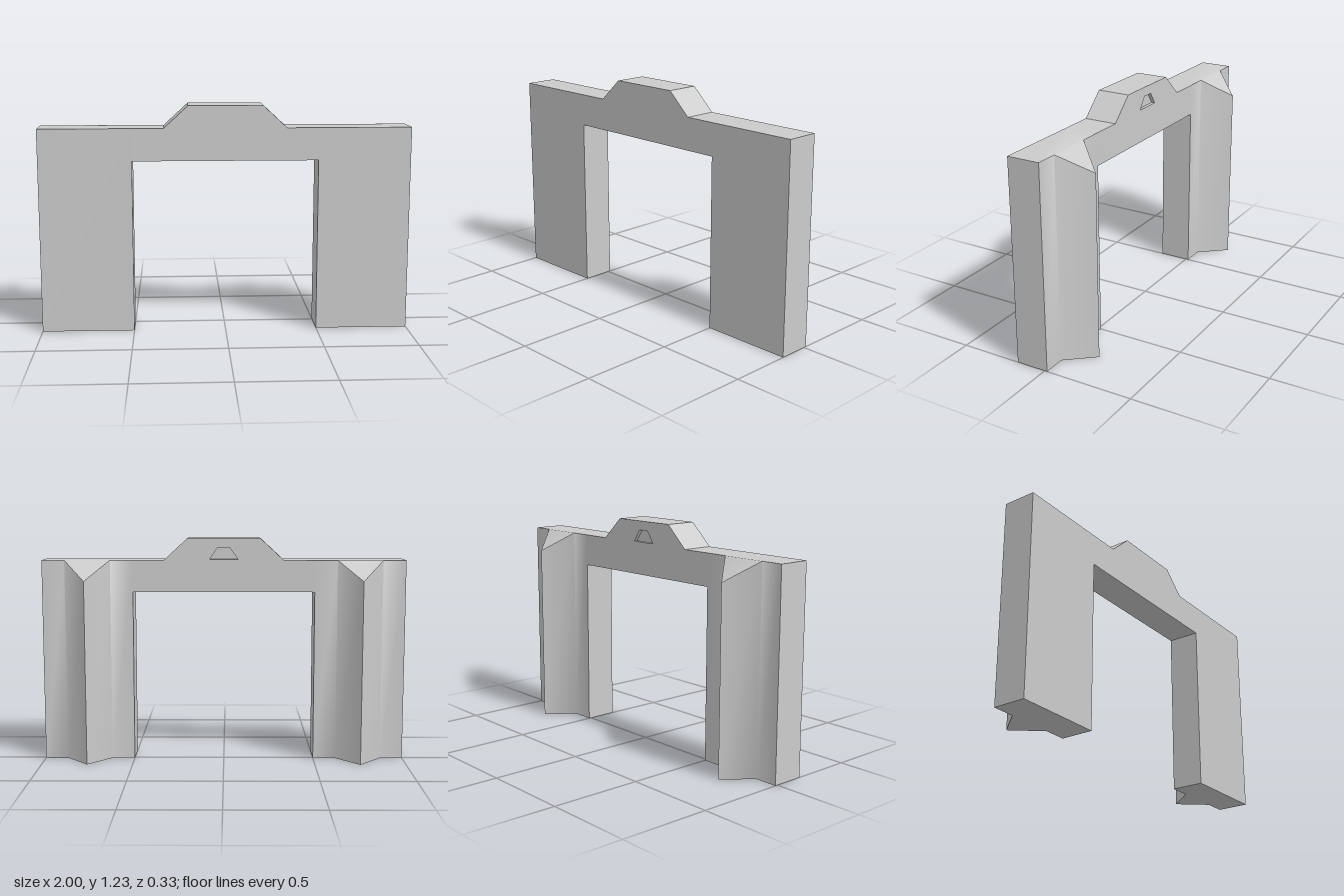
import * as THREE from 'three';
import { toCreasedNormals } from 'three/addons/utils/BufferGeometryUtils.js';

const FRONT = 0.165, BACK = -0.015, WALL_TOP = 1.11, OPENING = 0.935, RECESS = 0.02;

// Pillar: rectangular plan with a pointed buttress behind, whose ridge ends lower than the wall
function pillarGeometry() {
  const plan = [
    [-0.25, FRONT], [0.25, FRONT], [0.25, BACK], [0.125, BACK],
    [0, -0.165], [-0.125, BACK], [-0.25, BACK],
  ];
  const n = plan.length;
  const positions = [];
  for (const [x, z] of plan) positions.push(x, 0, z);
  for (const [x, z] of plan) positions.push(x, z < -0.1 ? 1.005 : WALL_TOP, z);

  const index = [];
  for (let i = 0; i < n; i++) {
    const j = (i + 1) % n;
    index.push(i, j, n + j, i, n + j, n + i);
  }
  for (const [a, b, c] of [[0, 1, 2], [0, 2, 3], [0, 3, 5], [0, 5, 6], [3, 4, 5]]) {
    index.push(n + a, n + b, n + c, a, c, b);
  }
  const geometry = new THREE.BufferGeometry();
  geometry.setAttribute('position', new THREE.Float32BufferAttribute(positions, 3));
  geometry.setIndex(index);
  return toCreasedNormals(geometry, THREE.MathUtils.degToRad(60));
}

const outline = (points) => points.map(([x, y]) => new THREE.Vector2(x, y));

// Lintel slab with the raised centre, between two depths
function lintelGeometry(z0, z1, hole) {
  const shape = new THREE.Shape(outline([
    [-0.5, OPENING], [0.5, OPENING], [0.5, WALL_TOP], [0.33, WALL_TOP],
    [0.2, 1.23], [-0.2, 1.23], [-0.33, WALL_TOP], [-0.5, WALL_TOP],
  ]));
  if (hole) shape.holes.push(new THREE.Path(outline(hole)));
  return new THREE.ExtrudeGeometry(shape, { depth: z1 - z0, bevelEnabled: false }).translate(0, 0, z0);
}

export function createModel() {
  const model = new THREE.Group();
  model.name = 'gateway';
  const material = new THREE.MeshStandardMaterial({ color: 0xcccccc });
  const add = (name, geometry, x = 0) => {
    const mesh = new THREE.Mesh(geometry, material);
    mesh.name = name;
    mesh.position.x = x;
    model.add(mesh);
  };

  const pillar = pillarGeometry();
  add('leftPillar', pillar, 0.75);
  add('rightPillar', pillar, -0.75);

  // Lintel, with a small trapezoid niche sunk into its back
  const niche = [[-0.077, 1.115], [-0.033, 1.18], [0.033, 1.18], [0.077, 1.115]];
  add('lintel', lintelGeometry(BACK + RECESS, FRONT));
  add('lintelBackWithNiche', lintelGeometry(BACK, BACK + RECESS, niche));

  return model;
}
